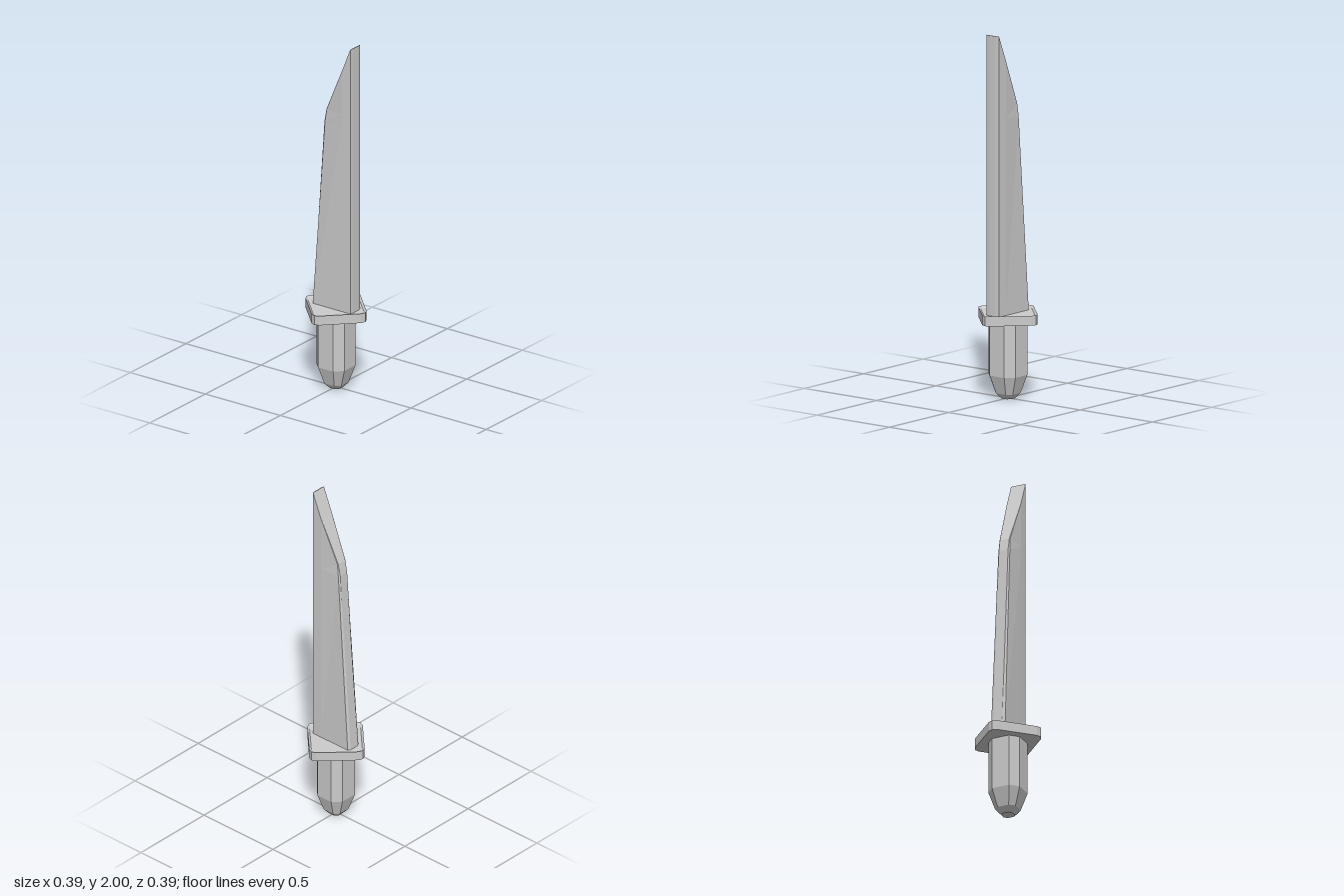
import * as THREE from 'three';

const material = new THREE.MeshStandardMaterial({ color: 0xcccccc, flatShading: true, side: THREE.DoubleSide });

// Skins rings of [x, y, z] points, listed bottom to top and
// counter-clockwise seen from above, and closes both ends.
function loft(name, rings) {
  const pos = [];
  const tri = (a, b, c) => pos.push(...a, ...b, ...c);
  const n = rings[0].length;
  for (let i = 0; i < rings.length - 1; i++) {
    for (let j = 0; j < n; j++) {
      const k = (j + 1) % n;
      tri(rings[i][j], rings[i][k], rings[i + 1][k]);
      tri(rings[i][j], rings[i + 1][k], rings[i + 1][j]);
    }
  }
  const bottom = rings[0], top = rings[rings.length - 1];
  for (let j = 1; j < n - 1; j++) {
    tri(bottom[0], bottom[j + 1], bottom[j]);
    tri(top[0], top[j], top[j + 1]);
  }
  const geometry = new THREE.BufferGeometry();
  geometry.setAttribute('position', new THREE.Float32BufferAttribute(pos, 3));
  geometry.computeVertexNormals();
  const mesh = new THREE.Mesh(geometry, material);
  mesh.name = name;
  return mesh;
}

// Repeats a corner (points [x, z]) in all four quarters
function fourFold(corner, y) {
  const ring = [];
  for (let q = 0; q < 4; q++) {
    for (const [x, z] of corner) {
      let p = [x, z];
      for (let i = 0; i < q; i++) p = [p[1], -p[0]];
      ring.push([p[0], y, p[1]]);
    }
  }
  return ring;
}

// Chamfered square: r = distance of the flats, f = half width of a flat
const gripRing = (y, r, f) => fourFold([[-f, r], [f, r]], y);

// Diamond with softened corners
const guardRing = (y, r) => fourFold([[-0.025, r - 0.01], [0, r], [0.025, r - 0.01]], y);

// Blade section: straight front, chamfered back at z = back
function bladeRing(y, back, halfWidth, flat, chamfer, middle) {
  const half = [
    [0.022, 0.131], [0.043, 0.128], [0.043, middle],
    [halfWidth, back + chamfer], [flat, back],
  ];
  const mirrored = half.map(([x, z]) => [-x, z]).reverse();
  return [...half, ...mirrored].map(([x, z]) => [x, y, z]);
}

export function createModel() {
  const model = new THREE.Group();
  model.name = 'shortSword';

  // Grip with tapered pommel end
  model.add(loft('grip', [
    gripRing(0, 0.033, 0.018),
    gripRing(0.03, 0.06, 0.033),
    gripRing(0.13, 0.093, 0.05),
    gripRing(0.43, 0.093, 0.05),
  ]));

  // Diamond guard with a shallow dished top
  model.add(loft('guard', [
    guardRing(0.423, 0.195),
    guardRing(0.477, 0.195),
    guardRing(0.467, 0.178),
  ]));

  // Blade narrowing towards its back, cut off at a slant
  model.add(loft('blade', [
    bladeRing(0.46, -0.132, 0.042, 0.027, 0.008, 0.07),
    bladeRing(1.54, -0.056, 0.034, 0.027, 0.008, 0.07),
    bladeRing(1.61, -0.042, 0.031, 0.028, 0.003, 0.07),
    bladeRing(1.86, 0.069, 0.043, 0.041, 0.001, 0.075),
    bladeRing(2, 0.127, 0.043, 0.042, 0.0003, 0.1277),
  ]));

  return model;
}
